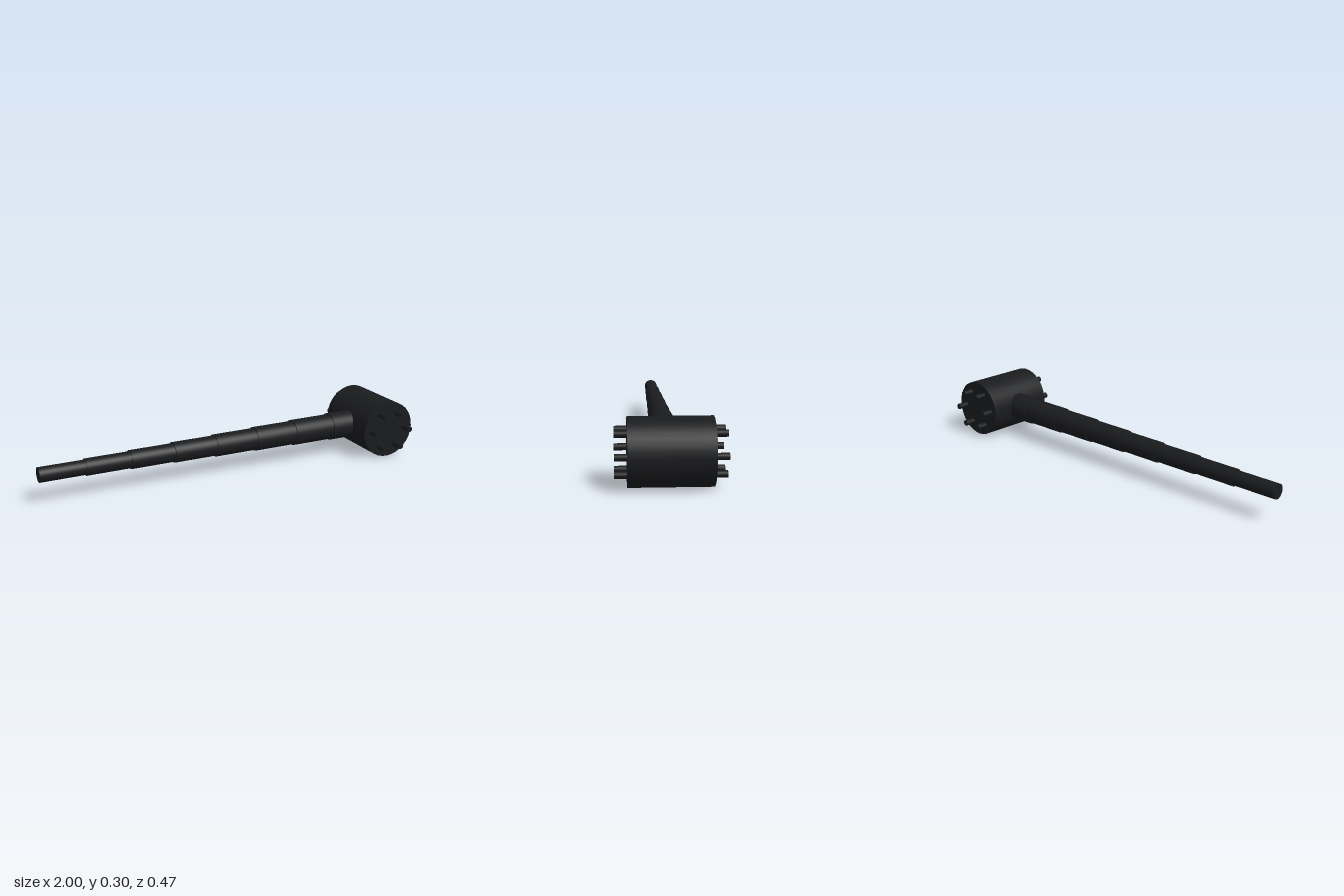
import * as THREE from 'three';

const material = new THREE.MeshStandardMaterial({ color: 0x1a1b1d });
const CENTER_Y = 0.15;
const HEAD_X = 0.85;

function cylinder(name, radius, length, sides) {
  const mesh = new THREE.Mesh(new THREE.CylinderGeometry(radius, radius, length, sides), material);
  mesh.name = name;
  return mesh;
}

export function createModel() {
  const model = new THREE.Group();
  model.name = 'mallet';

  // Handle: eight stepped sleeves, thicker toward the head
  const handle = new THREE.Group();
  handle.name = 'handle';
  const step = 0.2267;
  for (let i = 0; i < 8; i++) {
    const sleeve = cylinder('handleSection', 0.037 + i * 0.005, step, 32);
    sleeve.rotation.z = Math.PI / 2;
    sleeve.position.set(-1 + (i + 0.5) * step, CENTER_Y, 0);
    handle.add(sleeve);
  }
  model.add(handle);

  // Head: barrel lying along z
  const head = cylinder('head', 0.15, 0.366, 32);
  head.rotation.x = Math.PI / 2;
  head.position.set(HEAD_X, CENTER_Y, 0);
  model.add(head);

  // Studs: a ring of six on each striking face
  for (const side of [1, -1]) {
    const studs = new THREE.Group();
    studs.name = side > 0 ? 'frontStuds' : 'backStuds';
    for (let i = 0; i < 6; i++) {
      const a = (i * Math.PI) / 3;
      const stud = cylinder('stud', 0.0155, 0.074, 12);
      stud.rotation.x = Math.PI / 2;
      stud.position.set(HEAD_X + 0.103 * Math.cos(a), CENTER_Y + 0.1 * Math.sin(a), side * 0.2);
      studs.add(stud);
    }
    model.add(studs);
  }
  return model;
}
